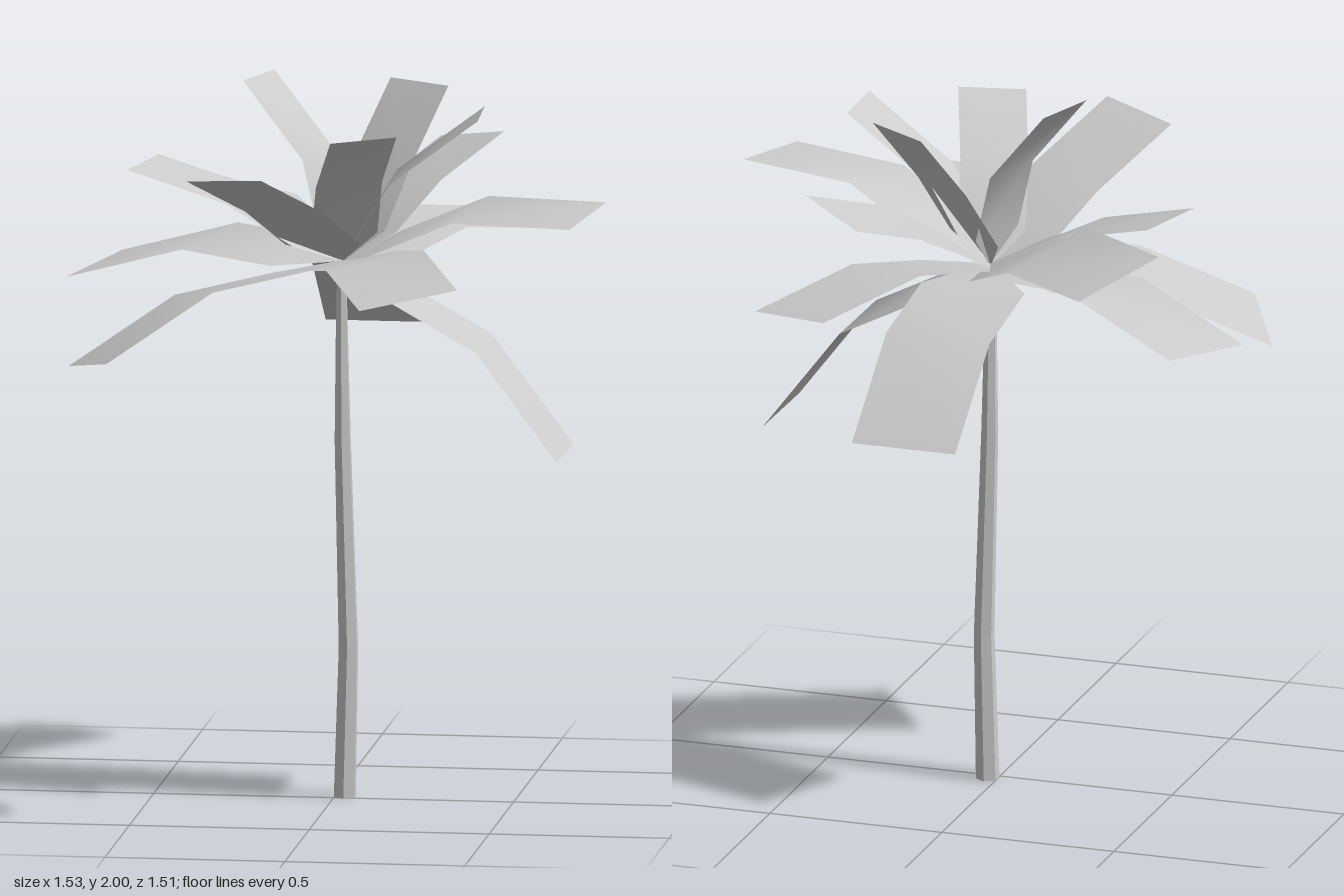
import * as THREE from 'three';

const CROWN = new THREE.Vector3(0.02, 1.5, -0.025);

// Fronds: middle of the bend, then the two corners of the tip
const FRONDS = [
  // drooping
  [[0.025, 1.425, -0.46], [-0.125, 1.2, -0.757], [0.175, 1.2, -0.757]],
  [[0.42, 1.285, 0.02], [0.65, 0.985, -0.12], [0.645, 0.985, 0.183]],
  [[-0.36, 1.44, 0.215], [-0.56, 1.295, 0.533], [-0.7, 1.24, 0.275]],
  [[-0.37, 1.53, -0.185], [-0.77, 1.405, -0.189], [-0.65, 1.435, -0.465]],
  // spreading
  [[0.21, 1.57, -0.36], [0.265, 1.533, -0.737], [0.507, 1.498, -0.607]],
  [[0.167, 1.575, 0.383], [0.43, 1.545, 0.645], [0.173, 1.5, 0.75]],
  [[0.395, 1.675, 0.11], [0.765, 1.695, 0.057], [0.7, 1.665, 0.33]],
  [[-0.24, 1.655, -0.295], [-0.597, 1.71, -0.398], [-0.433, 1.63, -0.607]],
  [[-0.27, 1.66, -0.1], [-0.58, 1.735, -0.045], [-0.523, 1.74, -0.275]],
  [[0.175, 1.68, -0.27], [0.22, 1.755, -0.585], [0.413, 1.795, -0.45]],
  // upright
  [[-0.11, 1.68, 0.235], [-0.13, 1.82, 0.54], [-0.35, 1.795, 0.44]],
  [[0.165, 1.74, -0.01], [0.405, 1.925, -0.115], [0.413, 1.92, 0.1]],
  [[0.06, 1.74, 0.13], [0.21, 1.9, 0.263], [0.035, 1.89, 0.33]],
  [[0.115, 1.76, -0.16], [0.11, 1.955, -0.357], [0.285, 1.955, -0.25]],
  [[-0.05, 1.79, -0.05], [-0.253, 2.0, -0.005], [-0.19, 2.0, -0.188]],
];

// A strip of four rows: pinched base, shoulder, bend and square tip
function frondGeometry(data) {
  const [bend, left, right] = data.map((p) => new THREE.Vector3(...p));
  const half = right.clone().sub(left).multiplyScalar(0.5);
  const tip = left.clone().add(half);
  const shoulder = CROWN.clone().lerp(bend, 0.33);
  const rows = [[CROWN, 0.06], [shoulder, 1], [bend, 1], [tip, 1]];
  const points = rows.flatMap(([centre, width]) => [
    centre.clone().addScaledVector(half, -width),
    centre.clone().addScaledVector(half, width),
  ]);
  const index = [];
  for (let i = 0; i < 6; i += 2) index.push(i, i + 1, i + 2, i + 1, i + 3, i + 2);
  const geometry = new THREE.BufferGeometry().setFromPoints(points);
  geometry.setIndex(index);
  geometry.computeVertexNormals();
  return geometry;
}

// Slim six-sided trunk; each ring is placed as [x, y, radius]
function trunkGeometry() {
  const rings = [[0.028, 0, 0.033], [0.038, 0.42, 0.029], [0.022, 1.0, 0.024], [0.018, 1.5, 0.014]];
  const geometry = new THREE.CylinderGeometry(1, 1, 3, 6, 3);
  const pos = geometry.attributes.position;
  for (let i = 0; i < pos.count; i++) {
    const [x, y, r] = rings[Math.round(pos.getY(i) + 1.5)];
    pos.setXYZ(i, x + pos.getX(i) * r, y, -0.023 + pos.getZ(i) * r);
  }
  geometry.computeVertexNormals();
  return geometry;
}

export function createModel() {
  const model = new THREE.Group();
  model.name = 'palmTree';

  const bark = new THREE.MeshStandardMaterial({ color: 0xcccccc, flatShading: true });
  const trunk = new THREE.Mesh(trunkGeometry(), bark);
  trunk.name = 'trunk';
  model.add(trunk);

  const leaf = new THREE.MeshStandardMaterial({ color: 0xcccccc, side: THREE.DoubleSide });
  const crown = new THREE.Group();
  crown.name = 'crown';
  FRONDS.forEach((data, i) => {
    const frond = new THREE.Mesh(frondGeometry(data), leaf);
    frond.name = `frond${i + 1}`;
    crown.add(frond);
  });
  model.add(crown);
  return model;
}
